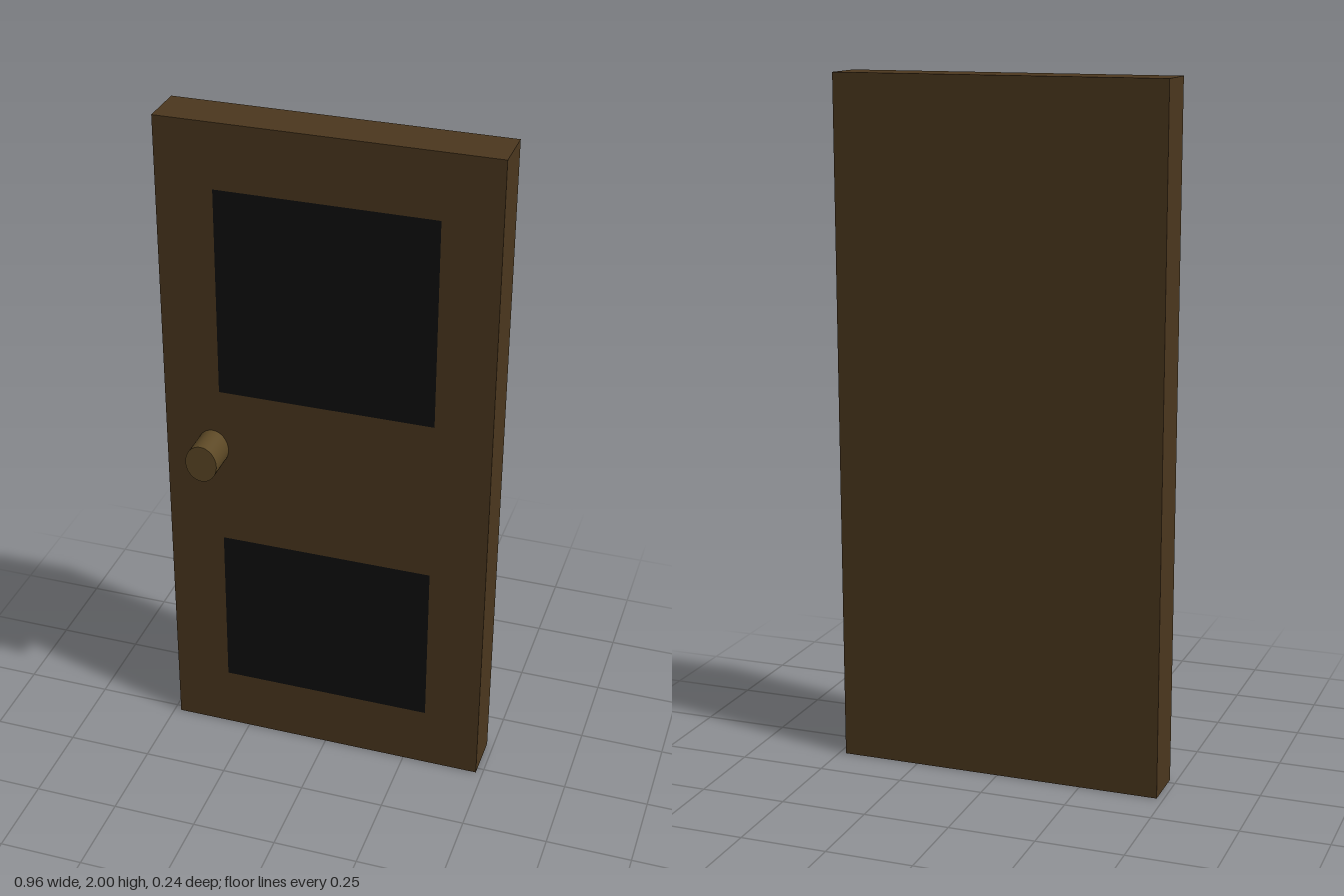
import * as THREE from 'three';

const material = (color) => new THREE.MeshStandardMaterial({ color });

export function createModel() {
  const door = new THREE.Group();
  door.name = 'door';

  const add = (name, geometry, mat, x, y, z) => {
    const mesh = new THREE.Mesh(geometry, mat);
    mesh.name = name;
    mesh.position.set(x, y, z);
    door.add(mesh);
    return mesh;
  };

  // Plain slab
  const front = 0.02, back = -0.12;
  add('doorSlab', new THREE.BoxGeometry(0.96, 2, front - back), material(0x4b371e),
    0, 1, (front + back) / 2);

  // Dark panels lying flush on the front face
  const dark = material(0x0d0d0d);
  for (const [name, bottom, top] of [['lowerPanel', 0.19, 0.695], ['upperPanel', 1.19, 1.81]]) {
    add(name, new THREE.PlaneGeometry(0.63, top - bottom), dark,
      0, (bottom + top) / 2, front + 0.001);
  }

  // Slightly oval knob, taller than wide
  const depth = 0.098;
  const knobShape = new THREE.CylinderGeometry(1, 1, depth, 32)
    .rotateX(Math.PI / 2)
    .scale(0.047, 0.057, 1);
  add('knob', knobShape, material(0x5c4825), -0.339, 1.002, front + depth / 2);

  return door;
}
